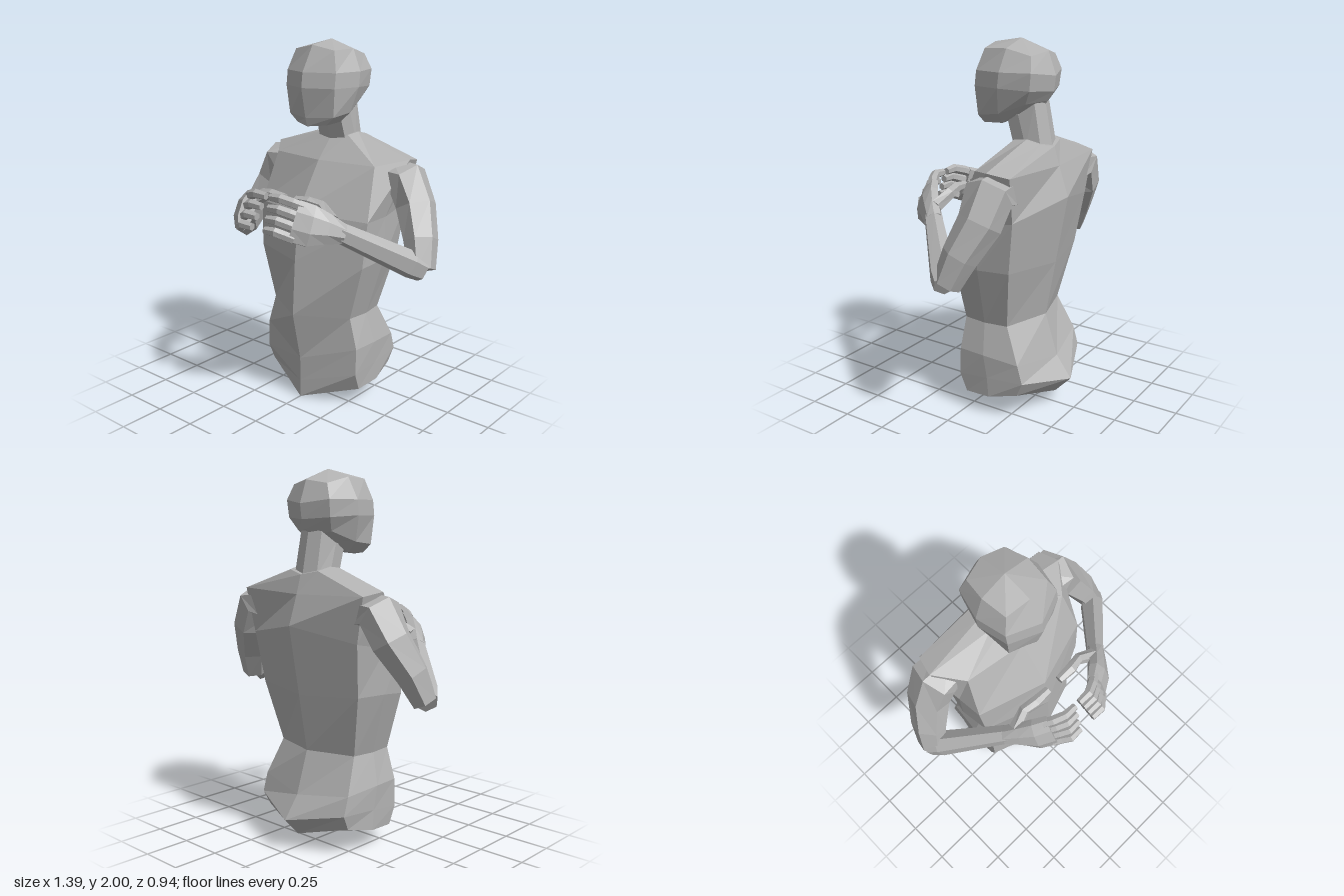
import * as THREE from 'three';

const V = (x, y, z) => new THREE.Vector3(x, y, z);
const clay = new THREE.MeshStandardMaterial({ color: 0xb2b2b2, flatShading: true });
clay.name = 'grey clay';

// Skin a list of closed rings; rings run counter-clockwise about the direction of travel
function loft(name, rings, { start, end, mirror = false } = {}) {
  const mid = (r) => r.reduce((a, p) => a.add(p), V(0, 0, 0)).divideScalar(r.length);
  const n = rings[0].length;
  const pos = [];
  const tri = (a, b, c) => {
    const list = mirror ? [a, c, b] : [a, b, c];
    for (const p of list) pos.push(mirror ? -p.x : p.x, p.y, p.z);
  };
  const first = rings[0], last = rings[rings.length - 1];
  const c0 = start || mid(first), c1 = end || mid(last);
  for (let i = 0; i < n; i++) {
    const j = (i + 1) % n;
    tri(c0, first[j], first[i]);
    tri(c1, last[i], last[j]);
    for (let k = 0; k < rings.length - 1; k++) {
      const a = rings[k], b = rings[k + 1];
      tri(a[i], a[j], b[j]);
      tri(a[i], b[j], b[i]);
    }
  }
  const geo = new THREE.BufferGeometry();
  geo.setAttribute('position', new THREE.Float32BufferAttribute(pos, 3));
  geo.computeVertexNormals();
  const mesh = new THREE.Mesh(geo, clay);
  mesh.name = name;
  return mesh;
}

// Full ring from its left half, listed front centre to back centre
function symmetric(half) {
  const pts = half.map((p) => V(...p));
  const other = pts.slice(1, -1).reverse().map((p) => V(-p.x, p.y, p.z));
  return [...pts, ...other];
}

// Rings along a path; each station is [x, y, z, width, thickness]
function sweep(stations, ref, sides = 6, phase = 0) {
  const c = stations.map((s) => V(s[0], s[1], s[2]));
  return stations.map((s, i) => {
    const t = c[Math.min(i + 1, c.length - 1)].clone().sub(c[Math.max(i - 1, 0)]).normalize();
    const u = ref.clone().addScaledVector(t, -ref.dot(t)).normalize();
    const v = t.clone().cross(u);
    return Array.from({ length: sides }, (_, k) => {
      const a = phase + (k / sides) * Math.PI * 2;
      return c[i].clone().addScaledVector(u, Math.cos(a) * s[3]).addScaledVector(v, Math.sin(a) * s[4]);
    });
  });
}

function makeArm(label, mirror) {
  const arm = new THREE.Group();
  arm.name = label + 'Arm';
  const add = (name, rings) => arm.add(loft(name, rings, { mirror }));

  add('upperArm', sweep([
    [0.34, 1.28, -0.235, 0.11, 0.12],
    [0.44, 1.285, -0.235, 0.105, 0.135],
    [0.51, 1.15, -0.225, 0.1, 0.12],
    [0.59, 0.99, -0.16, 0.085, 0.1],
    [0.635, 0.85, -0.11, 0.065, 0.08],
  ], V(1, 1, 0)));

  add('forearm', sweep([
    [0.645, 0.85, -0.11, 0.065, 0.06],
    [0.6, 0.882, -0.065, 0.075, 0.07],
    [0.33, 1.065, 0.2, 0.055, 0.05],
  ], V(0, 1, 0)));

  // Hand: the fingers are stacked along this direction, index finger first
  const stack = V(0, -0.89, 0.45).normalize();
  add('palm', sweep([
    [0.345, 1.055, 0.185, 0.055, 0.05],
    [0.29, 1.085, 0.25, 0.085, 0.05],
    [0.235, 1.105, 0.31, 0.115, 0.052],
    [0.165, 1.13, 0.36, 0.118, 0.042],
  ], stack, 8, Math.PI / 8));

  for (let k = 0; k < 4; k++) {
    const o = stack.clone().multiplyScalar((k - 1.5) * 0.057);
    const tip = k * 0.01;
    add('finger' + (k + 1), sweep([
      [0.19, 1.12, 0.35, 0.026, 0.026],
      [0.145, 1.14, 0.38, 0.027, 0.028],
      [0.085 + tip, 1.158, 0.408, 0.026, 0.026],
      [0.015 + tip, 1.155, 0.408, 0.021, 0.02],
    ].map(([x, y, z, w, h]) => [x, y + o.y, z + o.z, w, h]), stack, 6, Math.PI / 6));
  }

  add('thumb', sweep([
    [0.29, 1.12, 0.21, 0.04, 0.035],
    [0.2, 1.175, 0.185, 0.036, 0.03],
    [0.13, 1.19, 0.2, 0.03, 0.032],
    [0.04, 1.19, 0.2, 0.02, 0.024],
  ], V(0, 1, 0)));
  return arm;
}

export function createModel() {
  const model = new THREE.Group();
  model.name = 'mannequinBust';

  // Torso, from the hips up to the base of the neck
  model.add(loft('torso', [
    [[0, 0, 0.13], [0.32, 0.1, 0], [0.33, 0.11, -0.15], [0.3, 0.15, -0.31], [0, 0.07, -0.38]],
    [[0, 0.1, 0.13], [0.325, 0.2, 0.04], [0.33, 0.22, -0.14], [0.31, 0.23, -0.35], [0, 0.17, -0.475]],
    [[0, 0.24, 0.13], [0.325, 0.35, 0.035], [0.335, 0.35, -0.12], [0.31, 0.33, -0.32], [0, 0.29, -0.385]],
    [[0, 0.52, 0.19], [0.275, 0.52, 0.03], [0.29, 0.52, -0.1], [0.27, 0.52, -0.23], [0, 0.52, -0.31]],
    [[0, 0.83, 0.17], [0.36, 0.83, 0.04], [0.385, 0.85, -0.12], [0.35, 0.85, -0.29], [0, 0.83, -0.365]],
    [[0, 1.1, 0.14], [0.375, 1.08, 0.02], [0.39, 1.09, -0.12], [0.38, 1.13, -0.33], [0, 1.2, -0.43]],
    [[0, 1.36, -0.03], [0.34, 1.36, -0.08], [0.46, 1.39, -0.23], [0.43, 1.37, -0.345], [0, 1.36, -0.375]],
    [[0, 1.48, -0.14], [0.1, 1.49, -0.16], [0.11, 1.5, -0.24], [0.1, 1.48, -0.32], [0, 1.46, -0.345]],
  ].map(symmetric), { start: V(0, 0.02, -0.15) }));

  model.add(loft('neck', [
    [[0, 1.44, -0.135], [0.09, 1.45, -0.155], [0.1, 1.46, -0.23], [0.08, 1.45, -0.31], [0, 1.44, -0.335]],
    [[0, 1.61, -0.085], [0.085, 1.61, -0.105], [0.095, 1.62, -0.18], [0.075, 1.68, -0.265], [0, 1.69, -0.285]],
  ].map(symmetric)));

  // Head, from the jaw up to the crown
  model.add(loft('head', [
    [[0, 1.555, 0.065], [0.1, 1.565, 0.025], [0.1, 1.57, -0.09], [0.08, 1.64, -0.21], [0, 1.65, -0.27]],
    [[0, 1.6, 0.078], [0.15, 1.61, 0.03], [0.16, 1.625, -0.1], [0.12, 1.68, -0.24], [0, 1.69, -0.3]],
    [[0, 1.76, 0.11], [0.165, 1.76, 0.04], [0.2, 1.76, -0.12], [0.15, 1.75, -0.28], [0, 1.74, -0.335]],
    [[0, 1.84, 0.1], [0.165, 1.84, 0.03], [0.2, 1.84, -0.13], [0.155, 1.84, -0.29], [0, 1.82, -0.345]],
    [[0, 1.975, 0.02], [0.13, 1.95, 0], [0.145, 1.955, -0.14], [0.12, 1.92, -0.27], [0, 1.94, -0.3]],
  ].map(symmetric), { start: V(0, 1.58, -0.1), end: V(0, 2, -0.14) }));

  model.add(makeArm('left', false), makeArm('right', true));
  return model;
}
